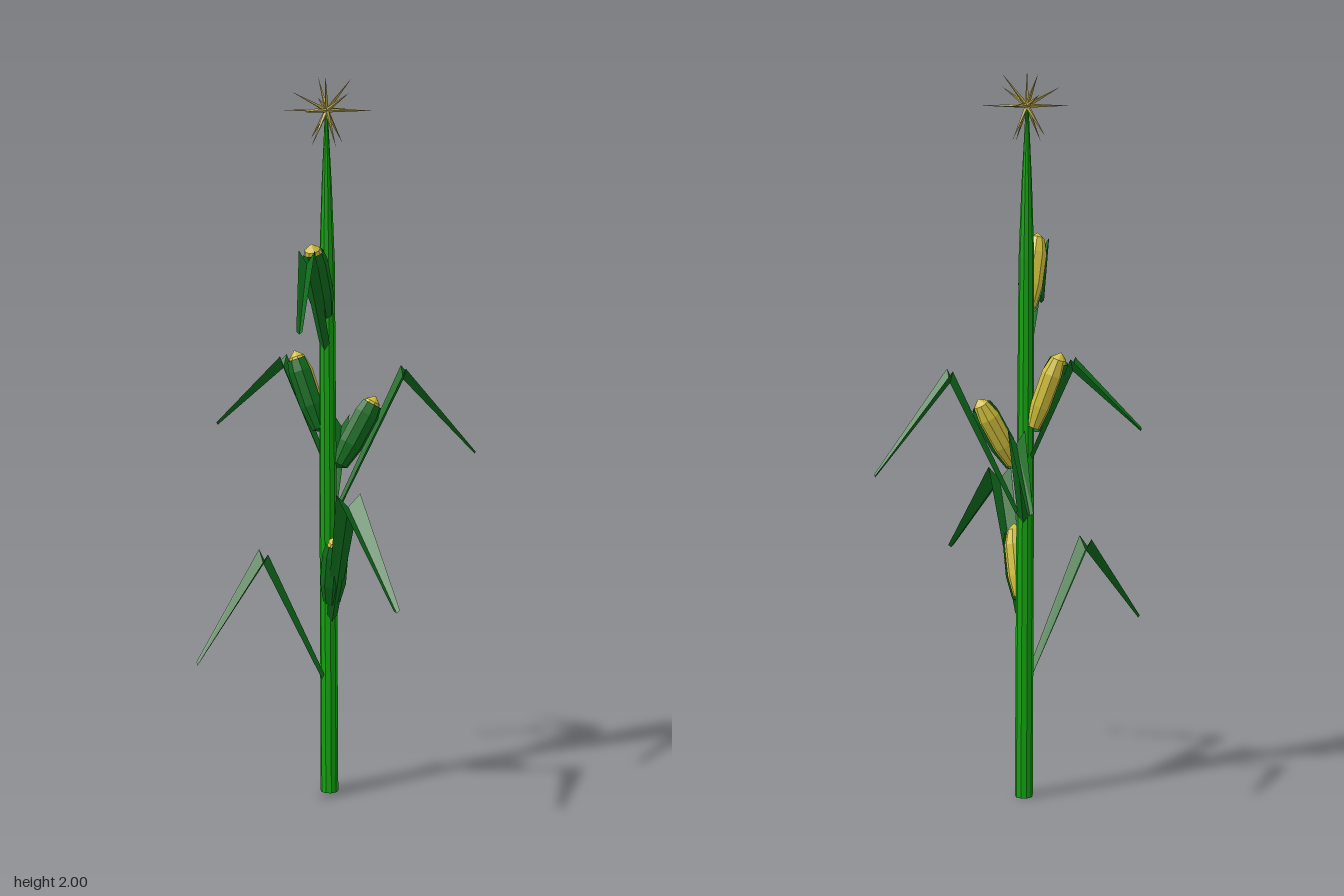
import * as THREE from 'three';

const V = (x, y, z) => new THREE.Vector3(x, y, z);
const mat = (color, side = THREE.FrontSide) =>
  new THREE.MeshStandardMaterial({ color, flatShading: true, side });

const stalkMat = mat(0x14a010);
const leafMat = mat(0x0f6a1c, THREE.DoubleSide);
const cobMat = mat(0xd2c03c);
const tasselMat = mat(0xb0a04a);

const profile = (pairs) => pairs.map(([r, y]) => new THREE.Vector2(r, y));

function part(name, geometry, material, parent) {
  const mesh = new THREE.Mesh(geometry, material);
  mesh.name = name;
  parent.add(mesh);
  return mesh;
}

// Leaf: a thin V-folded strip through base, elbow and tip, with its midrib lower than its edges
function leafGeometry(base, elbow, tip, size) {
  const side = V(elbow.z - base.z, 0, base.x - elbow.x).normalize();
  const rows = [[base, 0.03, 0.02], [elbow, size, 0.035], [tip, 0.017, 0.008]].map(([p, w, d]) => [
    p.clone().addScaledVector(side, -w / 2),
    p.clone().add(V(0, -d, 0)),
    p.clone().addScaledVector(side, w / 2),
  ]);
  const points = [];
  for (let i = 0; i < 2; i++) {
    for (let j = 0; j < 2; j++) {
      const a = rows[i][j], b = rows[i][j + 1], c = rows[i + 1][j + 1], d = rows[i + 1][j];
      points.push(a, b, c, a, c, d);
    }
  }
  const g = new THREE.BufferGeometry().setFromPoints(points);
  g.computeVertexNormals();
  return g;
}

// Ear: a faceted cob with a husk wrapped round half of it; the open side faces the given heading
function ear(base, tip, openDegrees) {
  const group = new THREE.Group();
  group.name = 'ear';
  const axis = tip.clone().sub(base);
  const L = axis.length();
  axis.normalize();
  const t = THREE.MathUtils.degToRad(openDegrees);
  const open = V(Math.cos(t), 0, -Math.sin(t));
  open.addScaledVector(axis, -open.dot(axis)).normalize();
  const across = axis.clone().cross(open);
  group.quaternion.setFromRotationMatrix(new THREE.Matrix4().makeBasis(across, axis, open));
  group.position.copy(base);

  const cob = profile([[0, 0], [0.02, 0.02 * L], [0.031, 0.3 * L], [0.032, 0.72 * L], [0.021, 0.92 * L], [0, L]]);
  part('cob', new THREE.LatheGeometry(cob, 9), cobMat, group);
  const husk = profile([[0.004, -0.01], [0.024, 0], [0.036, 0.3 * L], [0.036, 0.74 * L], [0.029, 0.89 * L]]);
  part('husk', new THREE.LatheGeometry(husk, 5, Math.PI - 1.75, 3.5), leafMat, group);
  return group;
}

export function createModel() {
  const plant = new THREE.Group();
  plant.name = 'cornPlant';

  // Stalk, leaning very slightly and tapering to a point
  const stalkProfile = profile([[0, 0], [0.025, 0], [0.024, 0.8], [0.021, 1.5], [0.014, 1.7], [0.004, 1.9], [0, 1.905]]);
  const stalk = part('stalk', new THREE.LatheGeometry(stalkProfile, 10), stalkMat, plant);
  stalk.position.set(-0.01, 0, -0.027);
  stalk.rotation.z = 0.005;

  // Leaves: base, elbow, tip, width at the elbow
  const leaves = [
    [V(-0.022, 0.35, -0.005), V(-0.14, 0.715, 0.124), V(-0.23, 0.45, 0.348), 0.066],
    [V(0.006, 0.52, -0.01), V(0.115, 0.9, 0.13), V(0.314, 0.635, 0.268), 0.066],
    [V(0.006, 0.82, -0.045), V(0.157, 1.205, -0.15), V(0.295, 0.945, -0.348), 0.064],
    [V(-0.016, 0.8, -0.05), V(-0.04, 1.055, -0.176), V(-0.13, 0.865, -0.328), 0.046],
    [V(-0.035, 0.97, -0.032), V(-0.15, 1.235, -0.029), V(-0.325, 1.045, 0.028), 0.046],
    [V(-0.015, 1.28, -0.005), V(-0.01, 1.545, 0.12), V(0.045, 1.355, 0.287), 0.046],
  ];
  for (const leaf of leaves) part('leaf', leafGeometry(...leaf), leafMat, plant);

  // Ears
  plant.add(
    ear(V(0.005, 0.56, -0.008), V(0.042, 0.758, 0.042), 95),
    ear(V(0.012, 0.94, -0.045), V(0.09, 1.125, -0.115), 150),
    ear(V(-0.04, 1.04, -0.032), V(-0.12, 1.25, -0.036), 60),
    ear(V(-0.013, 1.36, 0.002), V(-0.01, 1.56, 0.092), 145),
  );

  // Tassel: thin spikes bursting from the top of the stalk
  const tassel = new THREE.Group();
  tassel.name = 'tassel';
  tassel.position.set(-0.02, 1.905, -0.03);
  const spikes = [
    [0.12, 0, -0.03], [-0.105, 0, 0.045], [0.01, 0, -0.115], [-0.005, 0, 0.125],
    [0.01, 0.095, 0.03], [0.06, 0.085, -0.03], [-0.05, 0.085, -0.055], [0.09, 0.05, 0.055],
    [-0.065, -0.08, -0.04], [0.045, -0.095, 0.04], [-0.02, -0.095, 0.055], [0.02, -0.09, -0.06],
    [-0.075, 0.05, 0.06], [-0.06, 0.03, -0.075],
  ];
  for (const s of spikes) {
    const dir = V(...s);
    const length = dir.length();
    const cone = new THREE.ConeGeometry(0.006, length, 4).translate(0, length / 2, 0);
    part('tasselSpike', cone, tasselMat, tassel).quaternion.setFromUnitVectors(V(0, 1, 0), dir.normalize());
  }
  plant.add(tassel);

  return plant;
}
